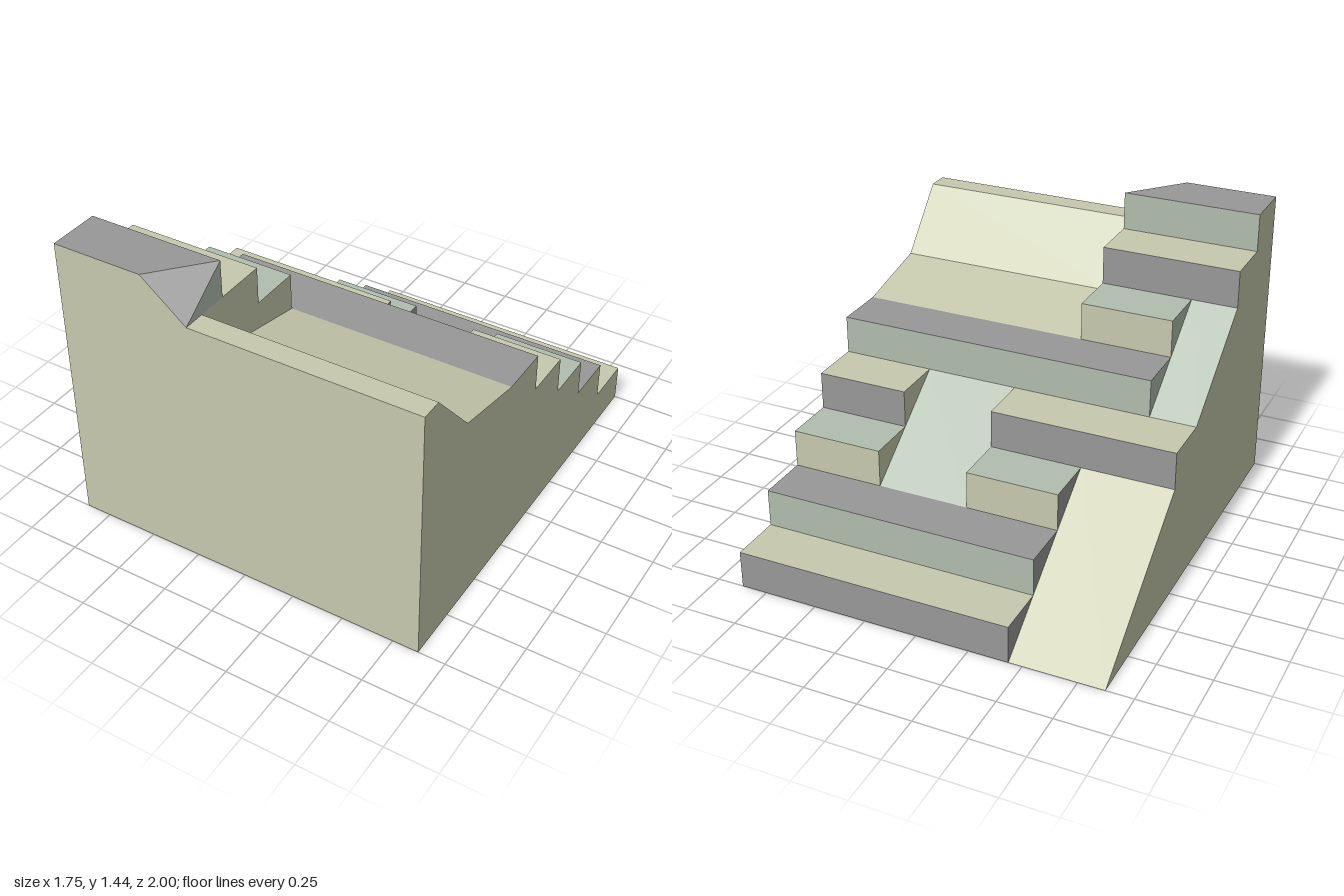
import * as THREE from 'three';

const W = 0.873, Q = W / 2, E = W / 4;   // half width, its half and quarter
const RISE = 1.437 / 8, RUN = 0.25;
const zAt = k => -1 + RUN * k;
const yAt = k => RISE * k;

const sand = new THREE.MeshStandardMaterial({ color: 0xc6c9ad, flatShading: true });
const sage = new THREE.MeshStandardMaterial({ color: 0xb0bdad, flatShading: true });
const grey = new THREE.MeshStandardMaterial({ color: 0x989898, flatShading: true });
const cycle = [sand, grey, sage];        // tread colours, repeating up the flight

export function createModel() {
  const root = new THREE.Group();

  const add = (name, material, geometry) => {
    const mesh = new THREE.Mesh(geometry, material);
    mesh.name = name;
    root.add(mesh);
    return mesh;
  };

  const triangles = (name, material, points) => {
    const g = new THREE.BufferGeometry();
    g.setAttribute('position', new THREE.Float32BufferAttribute(points.flat(), 3));
    g.computeVertexNormals();
    return add(name, material, g);
  };

  // Sheet spanning x0..x1 that follows a path of [z, y] points
  const sheet = (name, material, x0, x1, path) => {
    const pts = [];
    for (let i = 0; i + 1 < path.length; i++) {
      const [za, ya] = path[i], [zb, yb] = path[i + 1];
      const a = [x0, ya, za], b = [x0, yb, zb], c = [x1, yb, zb], d = [x1, ya, za];
      pts.push(a, b, c, a, c, d);
    }
    return triangles(name, material, pts);
  };

  // Upright wall at x facing dir (+1 or -1), outlined by [z, y] points
  const wall = (name, material, x, dir, outline) => {
    const shape = new THREE.Shape(outline.map(([z, y]) => new THREE.Vector2(-dir * z, y)));
    const g = new THREE.ShapeGeometry(shape).rotateY(dir * Math.PI / 2).translate(x, 0, 0);
    return add(name, material, g);
  };

  // Steps: x spans left over beside the ramps and the hollow
  const spans = [
    [[-Q, W]], [[-Q, W]], [[-Q, 0], [Q, W]], [[-W, 0], [Q, W]],
    [[-Q - E, W]], [[-Q - E, -E]], [[-W, -E]], [[-W, -E]],
  ];
  spans.forEach((list, k) => list.forEach(([x0, x1]) => {
    sheet('riser', cycle[(k + 1) % 3], x0, x1, [[zAt(k), yAt(k)], [zAt(k), yAt(k + 1)]]);
    sheet('tread', cycle[k % 3], x0, k === 7 ? -Q : x1,
      [[zAt(k), yAt(k + 1)], [zAt(k + 1), yAt(k + 1)]]);
  }));

  // Ramps, with the triangular step ends that show above them
  const ramp = (name, material, x0, x1, from, to, ends) => {
    sheet(name, material, x0, x1, [[zAt(from), yAt(from)], [zAt(to), yAt(to)]]);
    for (const [x, dir, endMaterial] of ends) {
      for (let k = from; k < to; k++) {
        wall('stepEnd', endMaterial, x, dir,
          [[zAt(k), yAt(k)], [zAt(k), yAt(k + 1)], [zAt(k + 1), yAt(k + 1)]]);
      }
    }
  };
  ramp('lowerRamp', sand, -W, -Q, 0, 3, [[-Q, -1, grey]]);
  ramp('middleRamp', sage, 0, Q, 2, 4, [[0, 1, grey], [Q, -1, sand]]);
  ramp('upperRamp', sage, -W, -Q - E, 4, 6, [[-Q - E, -1, sage]]);

  // Sloping hollow beside the top steps
  const hollow = [[0.25, yAt(5)], [0.64, 0.977], [0.895, yAt(7)], [1, yAt(7)]];
  sheet('hollow', sand, -E, W, hollow);
  wall('hollowWall', sand, -E, 1, [
    hollow[0], [0.25, yAt(6)], [0.5, yAt(6)], [0.5, yAt(7)], hollow[2], hollow[1],
  ]);
  wall('topStepEnd', sage, -E, 1, [[0.75, yAt(7)], [0.75, yAt(8)], [1, yAt(7)]]);

  // Bevelled corner of the top step
  const a = [-Q, yAt(8), 1], b = [-E, yAt(7), 1];
  const c = [-E, yAt(8), 0.75], d = [-Q, yAt(8), 0.75];
  triangles('bevelledCorner', grey, [a, b, c, a, c, d]);

  // Outer sides
  const stair = [];
  for (let k = 0; k < 5; k++) stair.push([zAt(k), yAt(k)], [zAt(k), yAt(k + 1)]);
  wall('leftSide', sand, W, 1, [...stair, ...hollow, [1, 0]]);
  wall('rightSide', sand, -W, -1, [
    [-1, 0], [zAt(3), yAt(3)], [zAt(3), yAt(4)], [zAt(4), yAt(4)], [zAt(6), yAt(6)],
    [zAt(6), yAt(7)], [zAt(7), yAt(7)], [zAt(7), yAt(8)], [1, yAt(8)], [1, 0],
  ]);

  // Front and base
  const front = new THREE.Shape([
    [-W, 0], [W, 0], [W, yAt(7)], [-E, yAt(7)], [-Q, yAt(8)], [-W, yAt(8)],
  ].map(p => new THREE.Vector2(...p)));
  add('frontWall', sand, new THREE.ShapeGeometry(front).translate(0, 0, 1));
  sheet('base', sand, -W, W, [[1, 0], [-1, 0]]);

  return root;
}
